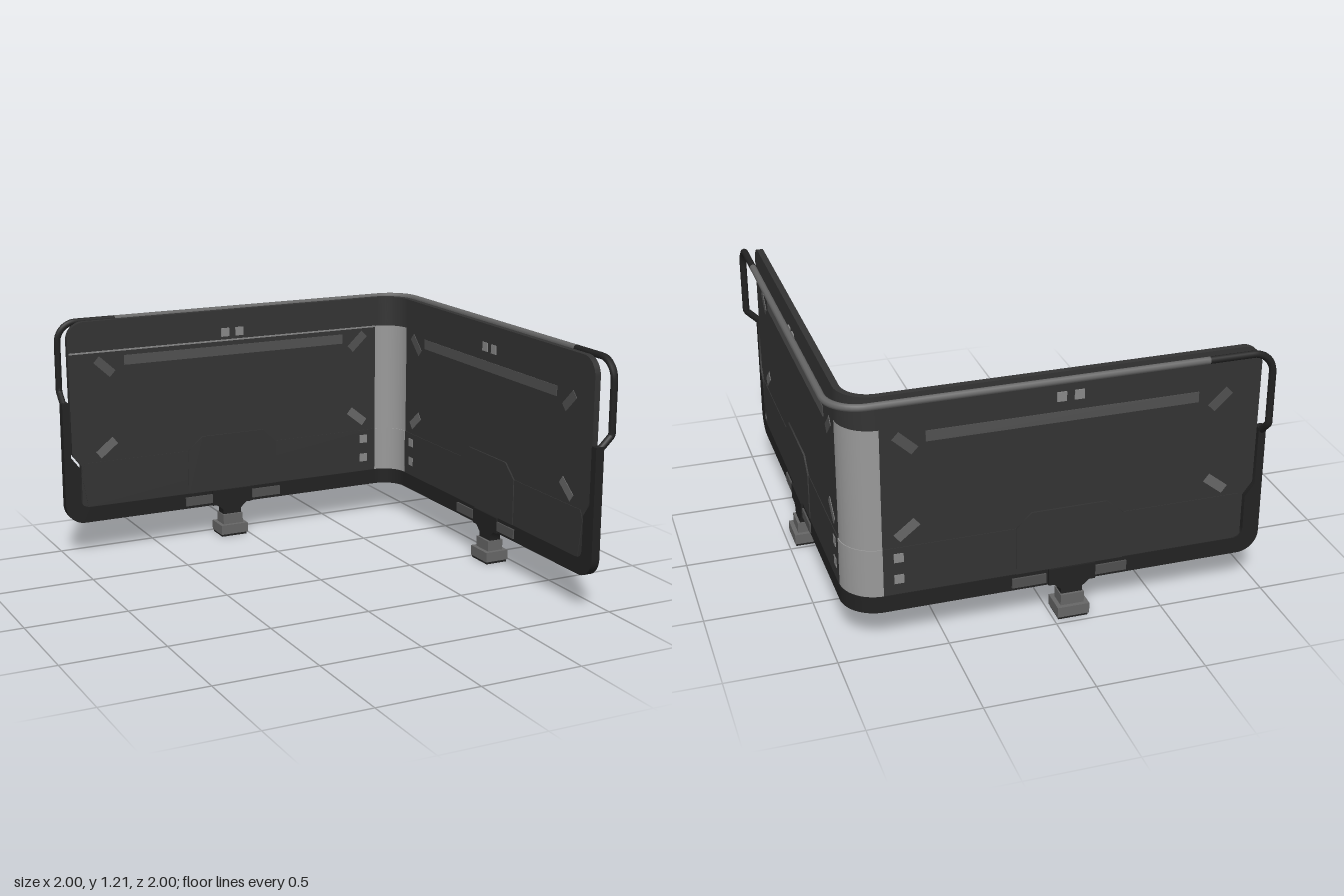
import * as THREE from 'three';
import { toCreasedNormals } from 'three/addons/utils/BufferGeometryUtils.js';

const mat = (color) => new THREE.MeshStandardMaterial({ color });
const DARK = mat(0x333333), FRAME = mat(0x222222), MARK = mat(0x666666);
const STRIP = mat(0x505050), PALE = mat(0x888888), COLUMN = mat(0x999999);
const V = (x, y, z) => new THREE.Vector3(x, y, z);

const MID = 0.91;    // distance of the panel's middle plane from the centre
const BEND = 0.77;   // where the panels start to curve into the corner
const RAIL = 0.983;  // distance of the rail from the centre

// The second wing swaps x and z across the diagonal; winding is flipped to suit.
const SWAP = new THREE.Matrix4().set(0, 0, -1, 0, 0, 1, 0, 0, -1, 0, 0, 0, 0, 0, 0, 1);
function reflect(geo) {
  const g = (geo.index ? geo.toNonIndexed() : geo).applyMatrix4(SWAP);
  for (const attr of Object.values(g.attributes)) {
    const a = attr.array, n = attr.itemSize;
    for (let i = 0; i < a.length; i += 3 * n) {
      for (let k = 0; k < n; k++) [a[i + n + k], a[i + 2 * n + k]] = [a[i + 2 * n + k], a[i + n + k]];
    }
  }
  return g;
}

// Flat outline in x and y, extruded evenly about the panel's middle plane
function slab(shape, depth) {
  return new THREE.ExtrudeGeometry(shape, { depth, bevelEnabled: false, curveSegments: 8 })
    .translate(0, 0, -MID - depth / 2);
}
const poly = (pts) => new THREE.Shape(pts.map((p) => new THREE.Vector2(...p)));

function box(x0, x1, y0, y1, depth, z = -MID) {
  return new THREE.BoxGeometry(x1 - x0, y1 - y0, depth).translate((x0 + x1) / 2, (y0 + y1) / 2, z);
}

// Quarter-round wall joining the wings
function cornerWall(thick, y0, y1) {
  const s = new THREE.Shape();
  const r = MID - BEND;
  s.absarc(BEND, BEND, r + thick / 2, 0, Math.PI / 2, false);
  s.absarc(BEND, BEND, r - thick / 2, Math.PI / 2, 0, true);
  return new THREE.ExtrudeGeometry(s, { depth: y1 - y0, bevelEnabled: false, curveSegments: 14 })
    .rotateX(-Math.PI / 2).translate(0, y0, 0);
}

// Tube through straight runs and rounded bends
function tube(curves, segments, r = 0.017) {
  const path = new THREE.CurvePath();
  curves.forEach((c) => path.add(c));
  return new THREE.TubeGeometry(path, segments, r, 8, false);
}
const line = (a, b) => new THREE.LineCurve3(a, b);
const k = 0.5523;

function wing(name, mirrored) {
  const group = new THREE.Group();
  group.name = name;
  const add = (part, geo, material) => {
    const g = mirrored ? reflect(geo) : geo;
    const m = new THREE.Mesh(toCreasedNormals(g, 0.9), material);
    m.name = part;
    group.add(m);
  };

  // Main screen with a rounded upper end and a chamfered lower end
  const screen = new THREE.Shape();
  screen.moveTo(-0.91, 0.2);
  screen.lineTo(BEND, 0.2);
  screen.lineTo(BEND, 1.205);
  screen.lineTo(-0.87, 1.205);
  screen.absarc(-0.87, 1.115, 0.09, Math.PI / 2, Math.PI, false);
  screen.lineTo(-0.955, 0.53);
  screen.lineTo(-0.91, 0.47);
  add('screen', slab(screen, 0.03), DARK);

  // Lower frame running up the free end
  const frame = new THREE.Shape();
  frame.moveTo(BEND, 0.17);
  frame.lineTo(BEND, 0.25);
  frame.lineTo(-0.87, 0.25);
  frame.quadraticCurveTo(-0.92, 0.25, -0.92, 0.3);
  frame.lineTo(-0.92, 0.46);
  frame.lineTo(-0.965, 0.52);
  frame.lineTo(-0.965, 0.8);
  frame.lineTo(-1, 0.8);
  frame.lineTo(-1, 0.27);
  frame.absarc(-0.9, 0.27, 0.1, Math.PI, Math.PI * 1.5, false);
  add('lowerFrame', slab(frame, 0.044), FRAME);

  // Shallow raised lower panel and central housing
  add('lowerPanel', slab(poly([[-0.88, 0.25], [BEND, 0.25], [BEND, 0.48], [-0.89, 0.48], [-0.91, 0.43]]), 0.036), DARK);
  add('centreHousing', slab(poly([[-0.33, 0.25], [0.17, 0.25], [0.17, 0.48], [0.1, 0.55],
    [-0.25, 0.55], [-0.33, 0.48]]), 0.046), DARK);

  // Long strip, corner dashes and small squares showing on both faces
  add('longStrip', box(-0.665, 0.57, 0.97, 1.02, 0.036), STRIP);
  for (const [x, y, a, material] of [[-0.77, 0.97, -0.75, STRIP], [0.66, 0.975, 0.75, STRIP],
    [-0.77, 0.55, 0.67, MARK], [0.66, 0.56, -0.67, MARK]]) {
    add('cornerDash', new THREE.BoxGeometry(0.115, 0.045, 0.036).rotateZ(a).translate(x, y, -MID), material);
  }
  for (const [x, y] of [[-0.11, 1.09], [-0.03, 1.09], [0.7, 0.43], [0.7, 0.325]]) {
    add('smallSquare', box(x - 0.022, x + 0.022, y - 0.022, y + 0.022, 0.041), PALE);
  }

  // Handle: the rail turns down the free end, then bends in to the frame
  add('handle', tube([
    line(V(-0.68, 1.193, -RAIL), V(-0.885, 1.193, -RAIL)),
    new THREE.CubicBezierCurve3(V(-0.885, 1.193, -RAIL), V(-0.885 - 0.098 * k, 1.193, -RAIL),
      V(-RAIL, 1.095 + 0.098 * k, -RAIL), V(-RAIL, 1.095, -RAIL)),
    line(V(-RAIL, 1.095, -RAIL), V(-RAIL, 0.845, -RAIL)),
    line(V(-RAIL, 0.845, -RAIL), V(-RAIL, 0.775, -MID)),
    line(V(-RAIL, 0.775, -MID), V(-RAIL, 0.7, -MID)),
  ], 70), FRAME);

  // Mount: clamp plates, tapering neck, stem and foot
  add('clampPlate', box(-0.35, -0.2, 0.185, 0.232, 0.06), STRIP);
  add('clampPlate', box(0.03, 0.19, 0.185, 0.232, 0.06), STRIP);
  add('clampBlock', box(-0.2, 0.02, 0.17, 0.25, 0.066), FRAME);
  add('neck', slab(poly([[-0.14, 0.1], [-0.04, 0.1], [-0.04, 0.14], [0, 0.175], [-0.18, 0.175], [-0.14, 0.14]]), 0.06), FRAME);
  add('stem', box(-0.145, -0.035, 0.05, 0.115, 0.085), MARK);
  add('foot', box(-0.165, -0.015, 0.012, 0.062, 0.125), MARK);
  add('footPad', box(-0.16, -0.02, 0, 0.012, 0.115), FRAME);
  return group;
}

export function createModel() {
  const model = new THREE.Group();
  model.name = 'cornerScreen';
  model.add(wing('backWing', false), wing('sideWing', true));
  const add = (part, geo, material) => {
    const m = new THREE.Mesh(toCreasedNormals(geo, 0.9), material);
    m.name = part;
    model.add(m);
  };

  // Rounded corner in stacked bands
  add('cornerBase', cornerWall(0.044, 0.17, 0.25), FRAME);
  add('cornerSleeve', cornerWall(0.038, 0.25, 0.48), COLUMN);
  add('cornerColumn', cornerWall(0.03, 0.48, 1.05), COLUMN);
  add('cornerTop', cornerWall(0.03, 1.05, 1.205), DARK);

  // Fine line across the inner face of the back wing
  add('trimLine', box(-0.955, BEND, 1.044, 1.052, 0.004, -MID + 0.016), PALE);

  // Rail sweeping around the corner between the two handles
  const b = 0.83, c = b + (RAIL - b) * k;
  add('rail', tube([
    line(V(-0.68, 1.193, -RAIL), V(b, 1.193, -RAIL)),
    new THREE.CubicBezierCurve3(V(b, 1.193, -RAIL), V(c, 1.193, -RAIL), V(RAIL, 1.193, -c), V(RAIL, 1.193, -b)),
    line(V(RAIL, 1.193, -b), V(RAIL, 1.193, 0.68)),
  ], 160), MARK);
  return model;
}
